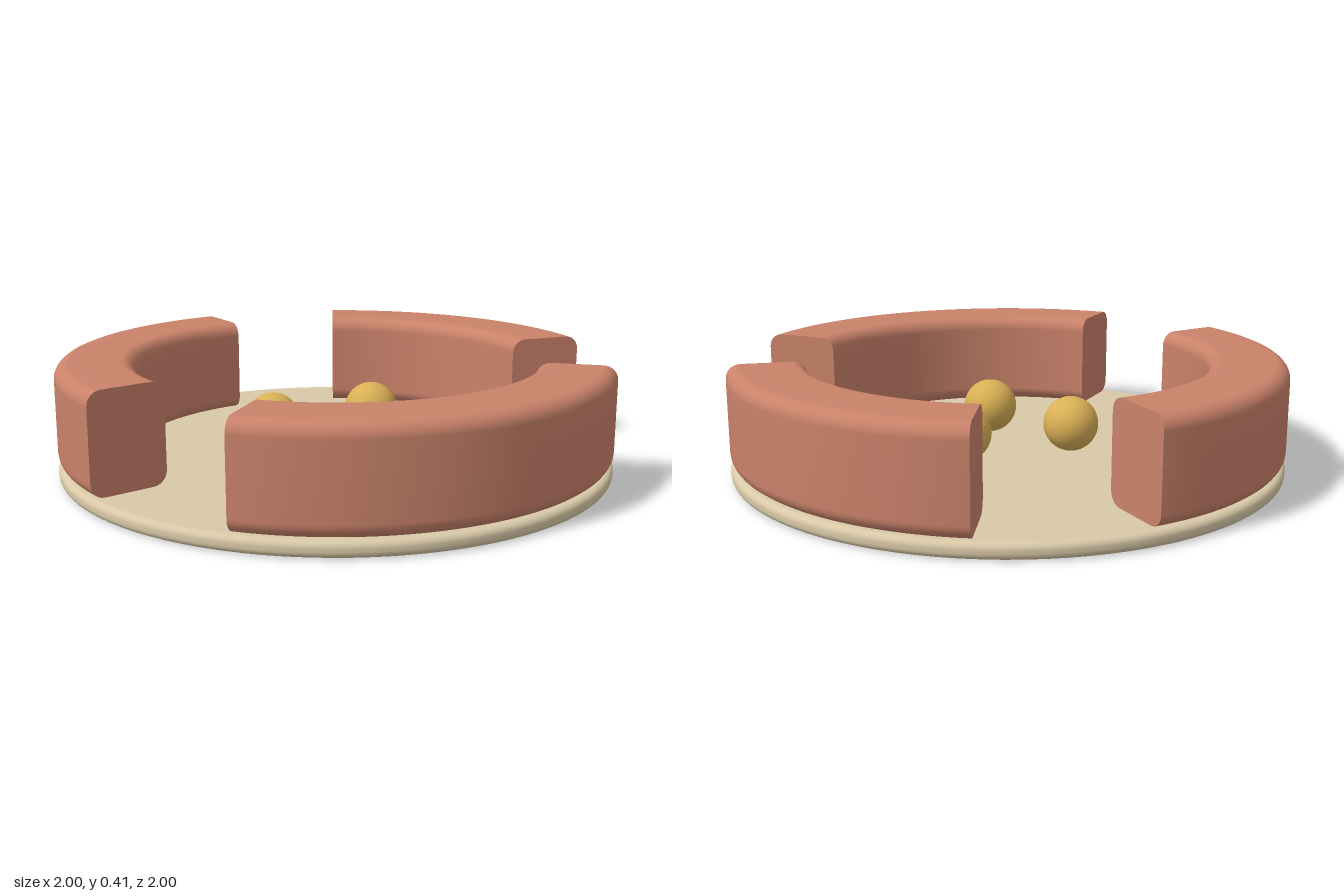
import * as THREE from 'three';

const mat = (name, color) => {
  const m = new THREE.MeshStandardMaterial({ color });
  m.name = name;
  return m;
};

// Closed rounded rectangle, counterclockwise, starting halfway up the outer side
function roundedSection(width, height, radius) {
  const w = width / 2, h = height / 2, points = [new THREE.Vector2(w, 0)];
  const corners = [[1, 1], [-1, 1], [-1, -1], [1, -1]];
  corners.forEach(([sx, sy], i) => {
    for (let k = 0; k <= 6; k++) {
      const a = (i + k / 6) * Math.PI / 2;
      points.push(new THREE.Vector2(
        sx * (w - radius) + radius * Math.cos(a),
        sy * (h - radius) + radius * Math.sin(a)));
    }
  });
  points.push(new THREE.Vector2(w, 0));
  return points;
}

// Curved padded wall between two angles, measured from the front towards the left
function curvedWall(name, startDeg, endDeg, material) {
  const wall = new THREE.Group();
  wall.name = name;
  const midRadius = 0.86, start = THREE.MathUtils.degToRad(startDeg), end = THREE.MathUtils.degToRad(endDeg);
  const section = roundedSection(0.28, 0.355, 0.05);
  const profile = section.map(p => new THREE.Vector2(p.x + midRadius, p.y));
  const body = new THREE.Mesh(new THREE.LatheGeometry(profile, 48, start, end - start), material);
  body.name = name + 'Body';
  wall.add(body);

  // Flat end faces
  const shape = new THREE.Shape(section.slice(0, -1));
  [start, end].forEach((angle, i) => {
    const geometry = new THREE.ShapeGeometry(shape);
    if (i === 1) geometry.rotateX(Math.PI);
    geometry.translate(midRadius, 0, 0).rotateY(angle - Math.PI / 2);
    const cap = new THREE.Mesh(geometry, material);
    cap.name = name + (i ? 'EndFace' : 'StartFace');
    wall.add(cap);
  });
  wall.position.y = 0.2325;
  return wall;
}

export function createModel() {
  const group = new THREE.Group();
  group.name = 'ringWithBalls';
  const clay = mat('terracotta', 0xc9826a);
  const sand = mat('sand', 0xd9c9a8);
  const gold = mat('gold', 0xd9b055);

  // Round floor with a softened rim
  const thickness = 0.055, r = 0.0225;
  const profile = [[0, 0], [0.97, 0]];
  for (let k = 0; k <= 6; k++) {
    const a = -Math.PI / 2 + k / 6 * Math.PI / 2;
    profile.push([1 - r + r * Math.cos(a), r + r * Math.sin(a)]);
  }
  for (let k = 0; k <= 6; k++) {
    const a = k / 6 * Math.PI / 2;
    profile.push([1 - r + r * Math.cos(a), thickness - r + r * Math.sin(a)]);
  }
  profile.push([0.97, thickness], [0, thickness]);
  const floor = new THREE.Mesh(
    new THREE.LatheGeometry(profile.map(([x, y]) => new THREE.Vector2(x, y)), 96), sand);
  floor.name = 'floor';
  group.add(floor);

  // Three wall sections with gaps between them
  group.add(
    curvedWall('leftWall', 16.3, 111.1, clay),
    curvedWall('backWall', 144.2, 215.8, clay),
    curvedWall('rightWall', 248.9, 343.7, clay));

  // Balls resting on the floor
  [['backBall', 0, -0.235], ['leftBall', 0.2, 0.12], ['rightBall', -0.2, 0.12]].forEach(([name, x, z]) => {
    const ball = new THREE.Mesh(new THREE.SphereGeometry(0.1, 32, 20), gold);
    ball.name = name;
    ball.position.set(x, thickness + 0.1, z);
    group.add(ball);
  });
  return group;
}
